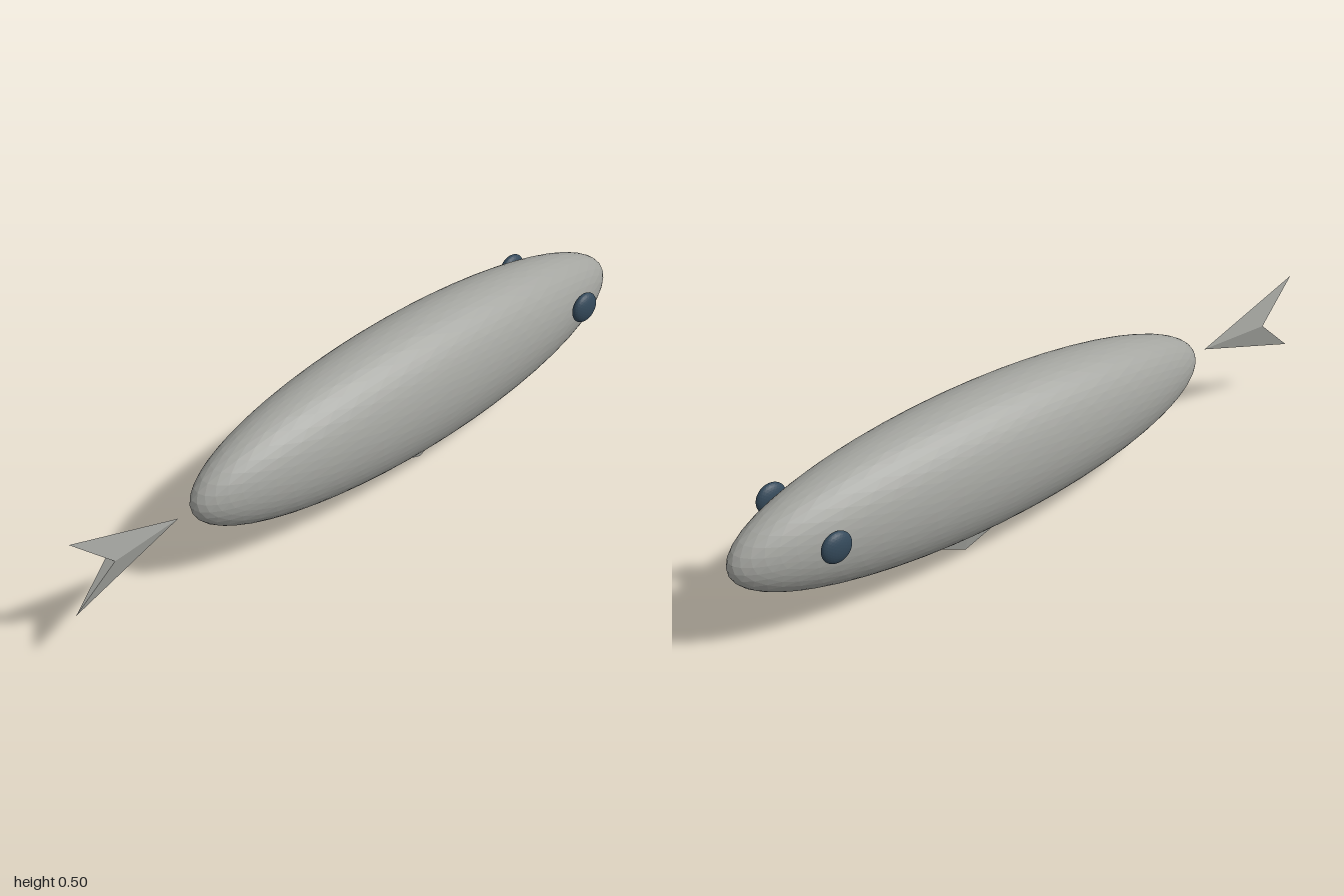
import * as THREE from 'three';

const skin = new THREE.MeshStandardMaterial({ color: 0xa3a49f, flatShading: true });
skin.name = 'greySkin';
const eyeBlue = new THREE.MeshStandardMaterial({ color: 0x34495a, flatShading: true });
eyeBlue.name = 'darkBlueEye';

// Faceted ellipsoid
function ellipsoid(name, material, detail, radii, position) {
  const geo = new THREE.IcosahedronGeometry(1, detail);
  geo.scale(...radii);
  const mesh = new THREE.Mesh(geo, material);
  mesh.name = name;
  mesh.position.set(...position);
  return mesh;
}

// Small faceted solid from corner points and triangles
function solid(name, points, faces) {
  const geo = new THREE.BufferGeometry();
  geo.setAttribute('position', new THREE.Float32BufferAttribute(faces.flat().flatMap((i) => points[i]), 3));
  geo.computeVertexNormals();
  const mesh = new THREE.Mesh(geo, skin);
  mesh.name = name;
  return mesh;
}

export function createModel() {
  const fish = new THREE.Group();
  fish.name = 'fish';

  fish.add(ellipsoid('body', skin, 9, [0.8, 0.211, 0.161], [0.195, 0.288, 0]));

  // Eyes, one on each flank
  for (const side of [1, -1]) {
    fish.add(ellipsoid(side > 0 ? 'frontEye' : 'backEye', eyeBlue, 5,
      [0.046, 0.046, 0.021], [0.763, 0.333, side * 0.141]));
  }

  // Forked tail: root, upper tip, lower tip and a ridge point on each side
  fish.add(solid('tailFin', [
    [-0.655, 0.288, 0], [-1, 0.405, 0], [-1, 0.172, 0],
    [-0.877, 0.288, 0.016], [-0.877, 0.288, -0.016],
  ], [[0, 1, 3], [0, 3, 2], [0, 4, 1], [0, 2, 4], [3, 1, 4], [3, 4, 2]]));

  // Belly fin: diamond base inside the body tapering to a point
  fish.add(solid('bellyFin', [
    [0.24, 0, 0], [-0.12, 0.12, 0], [0.5, 0.12, 0],
    [0.24, 0.12, 0.024], [0.24, 0.12, -0.024],
  ], [[0, 3, 1], [0, 2, 3], [0, 1, 4], [0, 4, 2], [1, 3, 4], [3, 2, 4]]));

  return fish;
}
